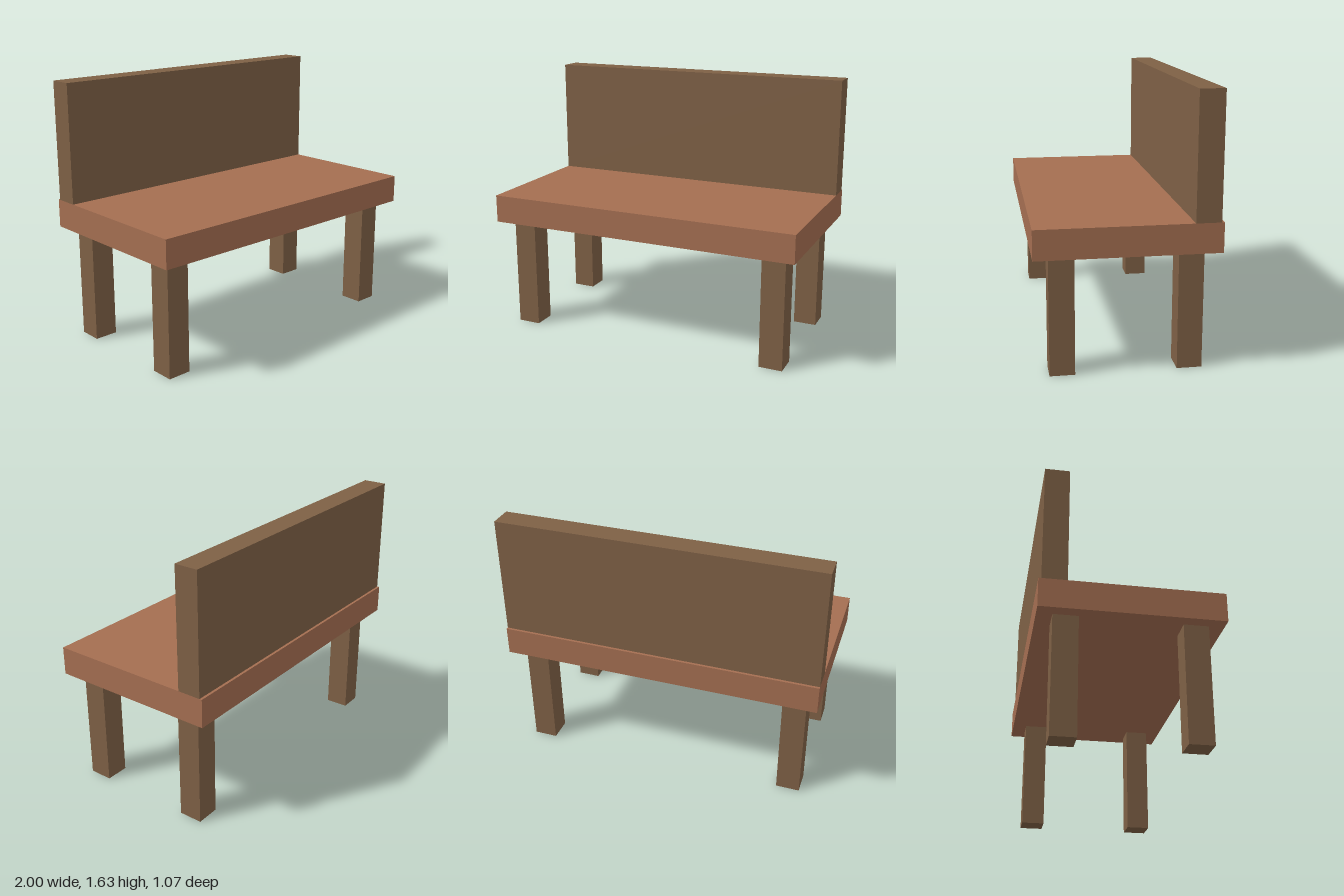
import * as THREE from 'three';

export function createModel() {
  const model = new THREE.Group();
  model.name = 'bench';

  const darkWood = new THREE.MeshStandardMaterial({ color: 0x7e6045 });
  darkWood.name = 'dark wood';
  const redWood = new THREE.MeshStandardMaterial({ color: 0xa46e51 });
  redWood.name = 'reddish wood';

  // Adds a box whose underside rests at height y
  function addBox(name, material, [w, h, d], [x, y, z]) {
    const mesh = new THREE.Mesh(new THREE.BoxGeometry(w, h, d), material);
    mesh.name = name;
    mesh.position.set(x, y + h / 2, z);
    model.add(mesh);
  }

  const legHeight = 0.713;
  const seatThickness = 0.176;

  // Seat slab and backrest standing on its rear edge
  addBox('seat', redWood, [2, seatThickness, 1.067], [0, legHeight, 0]);
  addBox('backrest', darkWood, [2, 0.741, 0.147], [0, legHeight + seatThickness, -0.444]);

  // Four square legs, inset from the corners
  for (const [side, sx] of [['Left', 1], ['Right', -1]]) {
    for (const [end, sz] of [['front', 1], ['back', -1]]) {
      addBox(`${end}${side}Leg`, darkWood, [0.147, legHeight, 0.147], [sx * 0.85, 0, sz * 0.37]);
    }
  }

  return model;
}
